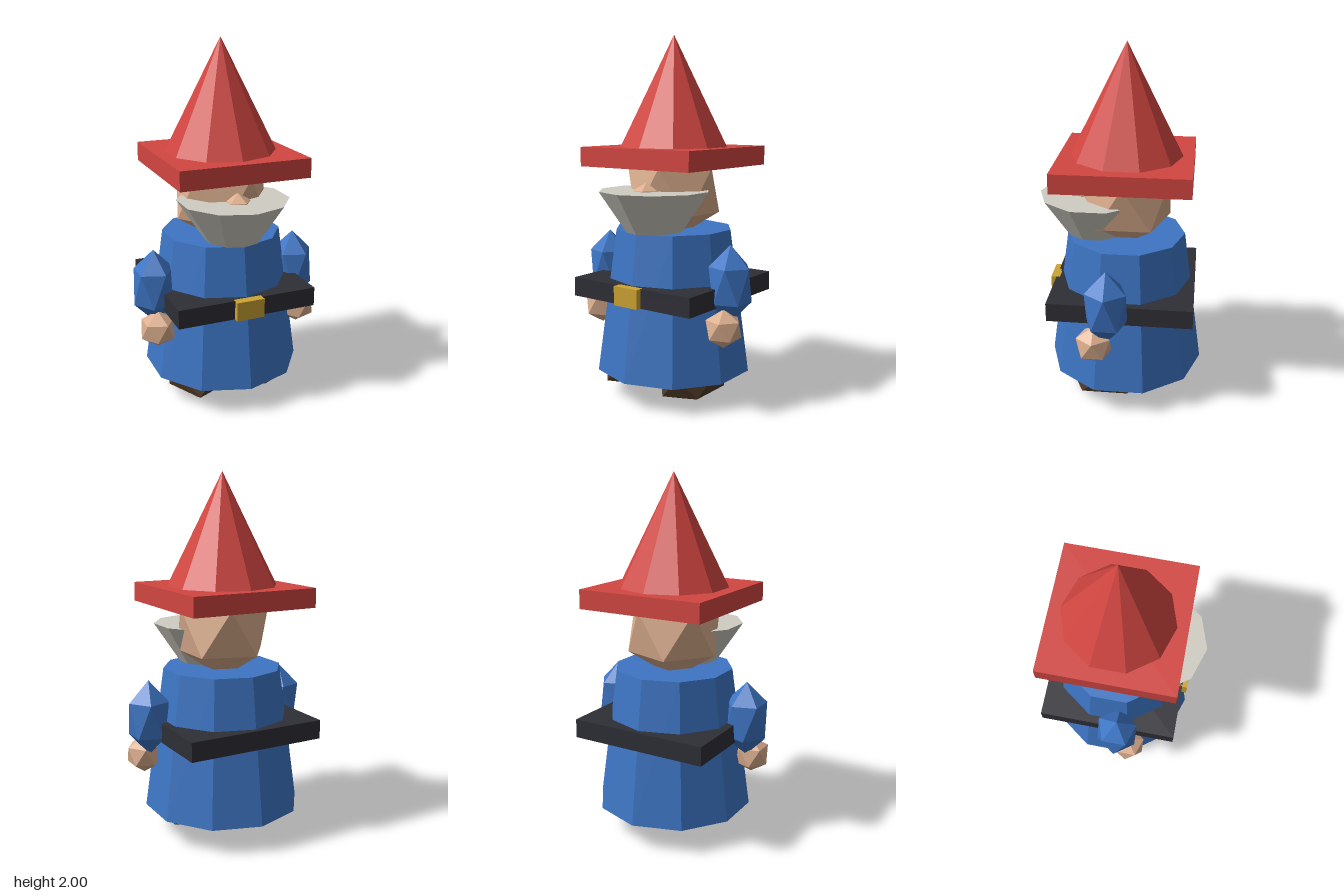
import * as THREE from 'three';

const mat = (name, color) => {
  const m = new THREE.MeshStandardMaterial({ color });
  m.name = name;
  return m;
};

export function createModel() {
  const group = new THREE.Group();
  const red = mat('hatRed', 0xd24641);
  const blue = mat('coatBlue', 0x3d75c4);
  const skin = mat('skin', 0xdbae8e);
  const grey = mat('beardGrey', 0xd0ccc2);
  const dark = mat('beltBlack', 0x2e2e36);
  const gold = mat('buckleGold', 0xcca333);
  const brown = mat('bootBrown', 0x4f3925);

  const add = (name, geometry, material, x, y, z) => {
    const mesh = new THREE.Mesh(geometry, material);
    mesh.name = name;
    mesh.position.set(x, y, z);
    group.add(mesh);
  };

  // Faceted ten-sided frustum standing between two heights
  const frustum = (name, material, rTop, rBottom, y0, y1, z) => {
    const g = new THREE.CylinderGeometry(rTop, rBottom, y1 - y0, 10).toNonIndexed();
    g.computeVertexNormals();
    add(name, g, material, 0, (y0 + y1) / 2, z);
  };

  // Twenty-sided ball with a vertex at each pole, stretched per axis
  const ball = (name, material, rx, ry, rz, x, y, z) => {
    const g = new THREE.IcosahedronGeometry(1, 0);
    g.rotateZ(-Math.atan(2 / (1 + Math.sqrt(5))));
    g.scale(rx, ry, rz);
    g.computeVertexNormals();
    add(name, g, material, x, y, z);
  };

  const box = (name, material, w, h, d, x, y, z) =>
    add(name, new THREE.BoxGeometry(w, h, d), material, x, y, z);

  // Coat and belt
  frustum('coat', blue, 0.33, 0.44, 0.15, 0.943, -0.02);
  box('belt', dark, 0.79, 0.105, 0.79, 0, 0.617, -0.02);
  box('buckle', gold, 0.158, 0.105, 0.05, 0, 0.617, 0.38);

  // Head, nose and beard
  ball('head', skin, 0.285, 0.285, 0.285, 0, 1.157, -0.02);
  ball('nose', skin, 0.08, 0.08, 0.08, 0, 1.133, 0.22);
  frustum('beard', grey, 0.306, 0, 0.705, 1.165, 0.155);

  // Pointed hat on a square brim
  box('hatBrim', red, 0.73, 0.106, 0.73, 0, 1.342, -0.022);
  frustum('hatCone', red, 0, 0.305, 1.395, 2, -0.022);

  // Arms, hands and boots on both sides
  for (const [side, s] of [['left', 1], ['right', -1]]) {
    ball(side + 'Arm', blue, 0.128, 0.212, 0.13, s * 0.422, 0.682, 0.045);
    ball(side + 'Hand', skin, 0.105, 0.105, 0.108, s * 0.427, 0.457, 0.112);
    ball(side + 'Boot', brown, 0.174, 0.13, 0.246, s * 0.198, 0.13, 0.07);
  }
  return group;
}
